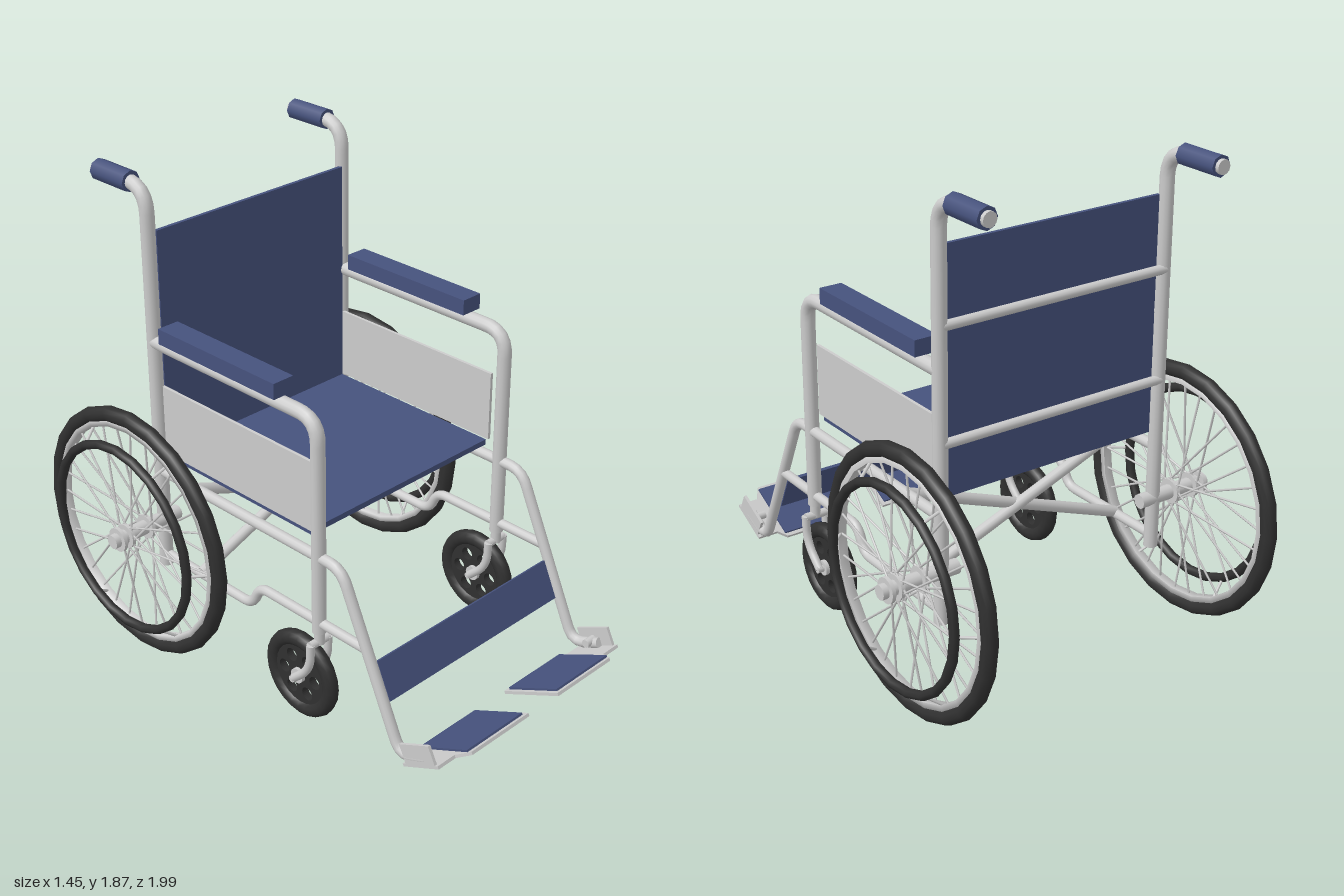
import * as THREE from 'three';
import { mergeGeometries } from 'three/addons/utils/BufferGeometryUtils.js';

const V = (x, y, z) => new THREE.Vector3(x, y, z);
const mat = (color, side = THREE.FrontSide) => new THREE.MeshStandardMaterial({ color, side });
const metal = mat(0xcccccc, THREE.DoubleSide);
const fabric = mat(0x46527d);
const rubber = mat(0x303030);

export function createModel() {
  const model = new THREE.Group();

  const add = (name, geo, material, parent = model) => {
    const mesh = new THREE.Mesh(geo, material);
    mesh.name = name;
    parent.add(mesh);
    return mesh;
  };
  const box = (name, size, pos, material, tilt = 0) => {
    const mesh = add(name, new THREE.BoxGeometry(...size), material);
    mesh.position.set(...pos);
    mesh.rotation.x = tilt;
    return mesh;
  };
  // Straight closed rod between two points
  const rodGeo = (a, b, r, sides = 12) => {
    const dir = b.clone().sub(a);
    const geo = new THREE.CylinderGeometry(r, r, dir.length(), sides);
    geo.applyQuaternion(new THREE.Quaternion().setFromUnitVectors(V(0, 1, 0), dir.normalize()));
    const mid = a.clone().add(b).multiplyScalar(0.5);
    return geo.translate(mid.x, mid.y, mid.z);
  };
  const rod = (name, a, b, r, material = metal, sides = 12) => add(name, rodGeo(a, b, r, sides), material);

  // Bent tube: straight runs joined by rounded corners, ends capped
  const bentTube = (name, pts, r, bend) => {
    const path = new THREE.CurvePath();
    let from = pts[0];
    for (let i = 1; i < pts.length - 1; i++) {
      const p = pts[i];
      const a = p.clone().add(pts[i - 1].clone().sub(p).setLength(bend));
      const b = p.clone().add(pts[i + 1].clone().sub(p).setLength(bend));
      path.add(new THREE.LineCurve3(from, a));
      path.add(new THREE.QuadraticBezierCurve3(a, p, b));
      from = b;
    }
    const last = pts[pts.length - 1];
    path.add(new THREE.LineCurve3(from, last));
    const cap = (end, next) => rodGeo(end, end.clone().add(next.clone().sub(end).setLength(0.01)), r);
    const geo = mergeGeometries([new THREE.TubeGeometry(path, 64, r, 12),
      cap(pts[0], pts[1]), cap(last, pts[pts.length - 2])]);
    return add(name, geo, metal);
  };

  // Ring with its axis along x
  const ring = (name, R, r, sides, segs, material, parent, x = 0) => {
    const geo = new THREE.TorusGeometry(R, r, sides, segs).rotateY(Math.PI / 2).translate(x, 0, 0);
    return add(name, geo, material, parent);
  };
  const radial = (x, r, angle) => V(x, r * Math.cos(angle), r * Math.sin(angle));

  const rearWheel = (s) => {
    const wheel = new THREE.Group();
    wheel.name = 'rearWheel';
    wheel.position.set(s * 0.61, 0.51, -0.49);
    model.add(wheel);
    ring('tyre', 0.47, 0.03, 10, 24, rubber, wheel);
    ring('handRim', 0.373, 0.018, 8, 24, rubber, wheel, s * 0.07);
    const profile = [[0.425, -0.018], [0.45, -0.018], [0.45, 0.018], [0.425, 0.018], [0.425, -0.018]];
    add('rim', new THREE.LatheGeometry(profile.map((p) => new THREE.Vector2(...p)), 24).rotateZ(Math.PI / 2), metal, wheel);
    // Hub with two flanges, axle and end nut
    add('hub', mergeGeometries([
      rodGeo(V(-0.05, 0, 0), V(0.05, 0, 0), 0.028),
      rodGeo(V(-0.055, 0, 0), V(-0.04, 0, 0), 0.048, 16),
      rodGeo(V(0.04, 0, 0), V(0.055, 0, 0), 0.048, 16),
      rodGeo(V(-s * 0.2, 0, 0), V(s * 0.115, 0, 0), 0.028),
      rodGeo(V(s * 0.078, 0, 0), V(s * 0.092, 0, 0), 0.048, 16),
    ]), metal, wheel);
    // Crossed spokes
    const spokes = [];
    for (let i = 0; i < 32; i++) {
      const a = (i / 32) * Math.PI * 2;
      const twist = i % 4 < 2 ? 0.9 : -0.9;
      spokes.push(rodGeo(radial(i % 2 ? 0.047 : -0.047, 0.04, a + twist), radial(0, 0.43, a), 0.0045, 5));
    }
    // Standoffs that carry the hand rim
    for (let i = 0; i < 6; i++) {
      const a = ((i + 0.5) / 6) * Math.PI * 2;
      spokes.push(rodGeo(radial(0, 0.43, a), radial(s * 0.07, 0.373, a), 0.006, 6));
    }
    add('spokes', mergeGeometries(spokes), metal, wheel);
  };

  const caster = (s) => {
    const x = s * 0.475;
    const wheel = new THREE.Group();
    wheel.name = 'casterWheel';
    wheel.position.set(x, 0.182, 0.265);
    model.add(wheel);
    ring('casterTyre', 0.145, 0.03, 10, 24, rubber, wheel);
    // Disc pierced by six holes
    const disc = new THREE.Shape().absarc(0, 0, 0.135, 0, Math.PI * 2);
    for (let i = 0; i < 6; i++) {
      const a = (i / 6) * Math.PI * 2;
      disc.holes.push(new THREE.Path().absarc(0.078 * Math.cos(a), 0.078 * Math.sin(a), 0.026, 0, Math.PI * 2, true));
    }
    const discGeo = new THREE.ExtrudeGeometry(disc, { depth: 0.03, bevelEnabled: false, curveSegments: 12 });
    add('casterDisc', discGeo.translate(0, 0, -0.015).rotateY(Math.PI / 2), rubber, wheel);
    add('casterAxle', mergeGeometries([
      rodGeo(V(-0.055, 0, 0), V(0.055, 0, 0), 0.014),
      rodGeo(V(-0.03, 0, 0), V(0.03, 0, 0), 0.03),
    ]), metal, wheel);
    // Stem and curved fork legs
    rod('casterStem', V(x, 0.36, 0.355), V(x, 0.42, 0.355), 0.02);
    rod('forkCrown', V(x - 0.045, 0.365, 0.353), V(x + 0.045, 0.365, 0.353), 0.016);
    for (const k of [-1, 1]) {
      const fx = x + k * 0.043;
      bentTube('forkLeg', [V(fx, 0.37, 0.355), V(fx, 0.26, 0.35), V(fx, 0.182, 0.265)], 0.016, 0.06);
    }
  };

  const footrest = (s) => {
    const tilt = -0.464;
    const rest = new THREE.Group();
    rest.name = 'footrest';
    rest.position.set(0, 0.115, 0.88);
    rest.rotation.x = tilt;
    model.add(rest);
    // Plate necks down toward the hinge
    const outline = [[0.08, -0.135], [0.38, -0.135], [0.41, -0.1], [0.495, -0.1],
      [0.495, 0.08], [0.41, 0.08], [0.38, 0.135], [0.08, 0.135]];
    const shape = new THREE.Shape(outline.map(([x, z]) => new THREE.Vector2(s * x, -z)));
    add('footplate', new THREE.ExtrudeGeometry(shape, { depth: 0.012, bevelEnabled: false }).rotateX(-Math.PI / 2), metal, rest);
    add('footPad', new THREE.BoxGeometry(0.29, 0.012, 0.24), fabric, rest).position.set(s * 0.24, 0.014, 0);
    add('hingePlate', new THREE.BoxGeometry(0.012, 0.08, 0.15), metal, rest).position.set(s * 0.489, 0.045, -0.01);
    add('hingePin', rodGeo(V(s * 0.435, 0.04, -0.02), V(s * 0.495, 0.04, -0.02), 0.016), metal, rest);
  };

  for (const s of [-1, 1]) {
    const x = s * 0.475;
    const P = (y, z) => V(x, y, z);
    // Frame tubes
    bentTube('backPost', [P(0.31, -0.49), P(1.84, -0.49), P(1.84, -0.765)], 0.027, 0.1);
    bentTube('armTube', [P(1.255, -0.49), P(1.255, 0.355), P(0.41, 0.355)], 0.027, 0.09);
    bentTube('legTube', [P(0.72, -0.49), P(0.72, 0.465), P(0.09, 0.755), P(0.145, 0.88)], 0.021, 0.06);
    bentTube('lowerTube', [P(0.45, 0.58), P(0.45, 0.05), P(0.355, 0.005), P(0.355, -0.49)], 0.019, 0.045);
    // Cross brace
    rod('crossBrace', V(x, 0.72, -0.285 + s * 0.006), V(-x, 0.36, -0.285 + s * 0.006), 0.022);
    // Grip, armrest and side panel
    rod('handGrip', P(1.84, -0.57), P(1.84, -0.75), 0.04, fabric, 8);
    box('armrest', [0.09, 0.06, 0.6], [s * 0.473, 1.313, -0.11], fabric);
    box('sidePanel', [0.012, 0.275, 0.8], [s * 0.462, 0.938, -0.09], metal);
    rearWheel(s);
    caster(s);
    footrest(s);
  }

  // Upholstery
  box('seat', [0.91, 0.022, 0.77], [0, 0.786, -0.085], fabric);
  box('backrest', [0.91, 0.9, 0.014], [0, 1.23, -0.475], fabric);
  box('calfStrap', [0.9, 0.152, 0.012], [0, 0.33, 0.643], fabric, -0.431);
  // Bars behind the backrest
  for (const y of [0.99, 1.41]) rod('backBar', V(-0.475, y, -0.5), V(0.475, y, -0.5), 0.018);

  return model;
}
